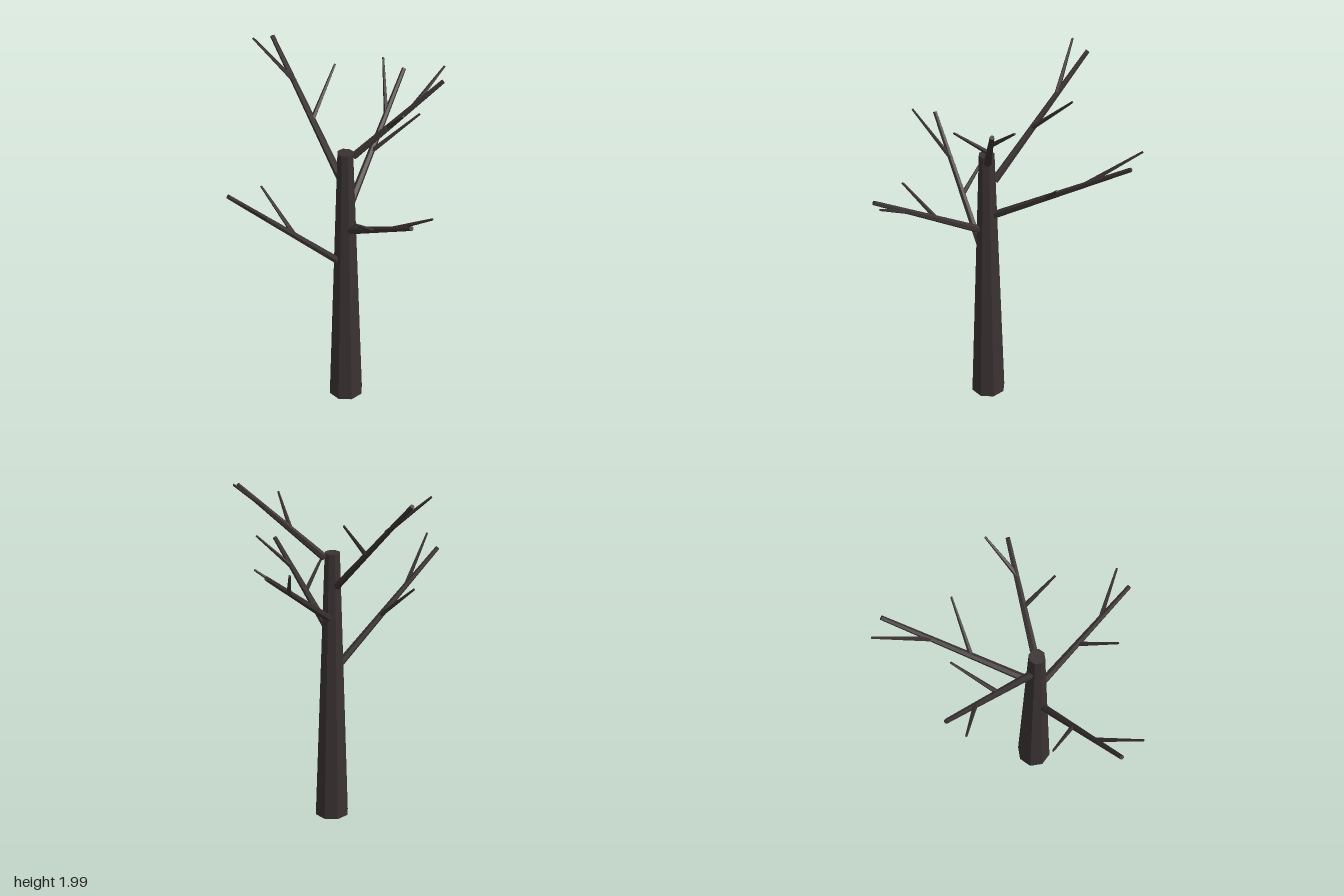
import * as THREE from 'three';

// Each branch: start, end, and two twigs given as [start, tip]
const BRANCHES = [
  { name: 'backRightBranch', from: [-0.03, 1.38, 0.07], to: [-0.56, 1.965, -0.212], twigs: [
    [[-0.385, 1.78, -0.12], [-0.615, 1.99, -0.1]],
    [[-0.245, 1.625, -0.05], [-0.226, 1.84, -0.28]]] },
  { name: 'backLeftBranch', from: [0.045, 1.53, 0.07], to: [0.435, 1.94, -0.156], twigs: [
    [[0.31, 1.81, -0.08], [0.4, 1.97, -0.26]],
    [[0.205, 1.7, -0.015], [0.333, 1.845, 0.107]]] },
  { name: 'frontLeftBranch', from: [0.055, 1.11, 0.125], to: [0.54, 1.455, 0.464], twigs: [
    [[0.375, 1.338, 0.35], [0.615, 1.48, 0.38]],
    [[0.25, 1.245, 0.265], [0.238, 1.405, 0.475]]] },
  { name: 'frontRightBranch', from: [-0.02, 0.91, 0.14], to: [-0.386, 1.48, 0.62], twigs: [
    [[-0.264, 1.29, 0.458], [-0.288, 1.525, 0.707]],
    [[-0.17, 1.145, 0.335], [-0.39, 1.35, 0.274]]] },
  { name: 'backBranch', from: [0.01, 1.2, 0.045], to: [-0.01, 1.668, -0.7], twigs: [
    [[-0.003, 1.51, -0.45], [-0.139, 1.705, -0.71]],
    [[0.005, 1.385, -0.25], [0.215, 1.585, -0.4]]] },
];

// Tapered limb running between two points
function limb(name, from, to, r0, r1, sides, material) {
  const a = new THREE.Vector3(...from);
  const b = new THREE.Vector3(...to);
  const dir = b.clone().sub(a);
  const mesh = new THREE.Mesh(new THREE.CylinderGeometry(r1, r0, dir.length(), sides), material);
  mesh.name = name;
  mesh.position.copy(a).add(b).multiplyScalar(0.5);
  mesh.quaternion.setFromUnitVectors(new THREE.Vector3(0, 1, 0), dir.normalize());
  return mesh;
}

export function createModel() {
  const bark = new THREE.MeshStandardMaterial({ color: 0x3a3232 });
  bark.name = 'darkBark';
  bark.flatShading = true;

  const tree = new THREE.Group();
  tree.name = 'bareTree';

  // Tapered eight-sided trunk
  tree.add(limb('trunk', [0.01, 0, 0.094], [0.01, 1.555, 0.094], 0.097, 0.043, 8, bark));

  // Main branches, each with two thin twigs
  for (const { name, from, to, twigs } of BRANCHES) {
    const group = new THREE.Group();
    group.name = name;
    group.add(limb('branch', from, to, 0.021, 0.012, 6, bark));
    twigs.forEach(([start, tip], i) => {
      group.add(limb(`twig${i + 1}`, start, tip, 0.013, 0.006, 5, bark));
    });
    tree.add(group);
  }
  return tree;
}
